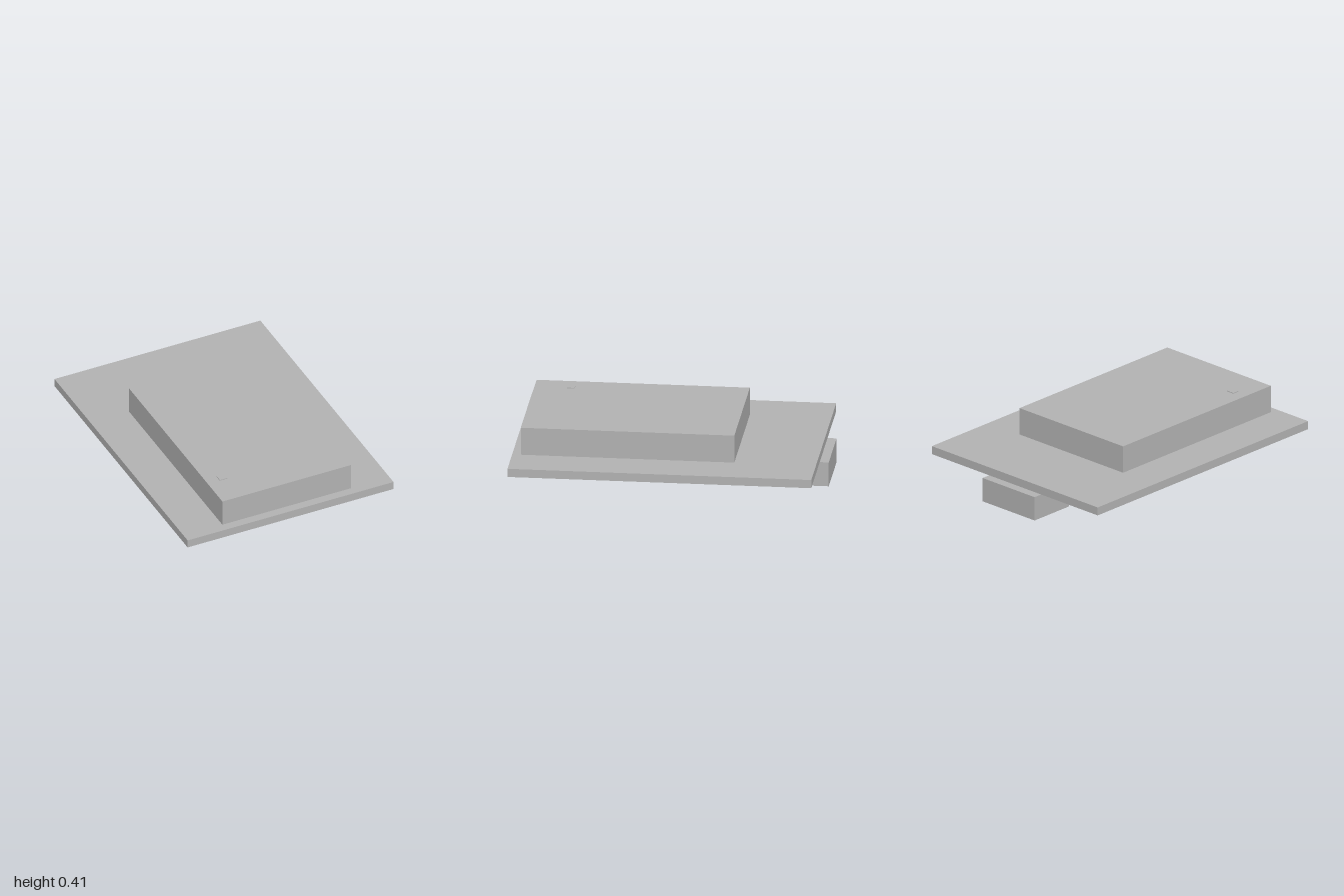
import * as THREE from 'three';

export function createModel() {
  const group = new THREE.Group();
  const grey = new THREE.MeshStandardMaterial({ color: 0xb2b2b2 });
  grey.name = 'plain grey';

  // Box given by its lower and upper limits on each axis
  function box(name, [x0, x1], [y0, y1], [z0, z1]) {
    const mesh = new THREE.Mesh(new THREE.BoxGeometry(x1 - x0, y1 - y0, z1 - z0), grey);
    mesh.position.set((x0 + x1) / 2, (y0 + y1) / 2, (z0 + z1) / 2);
    mesh.name = name;
    group.add(mesh);
  }

  // Thin board carrying everything
  box('basePlate', [-0.727, 0.727], [0.163, 0.218], [-0.943, 1]);
  // Large block on top
  box('moduleBlock', [-0.454, 0.454], [0.218, 0.4], [-0.421, 0.943]);
  // Small raised marker near the front corner of the block
  box('cornerMarker', [-0.37, -0.315], [0.4, 0.405], [0.685, 0.733]);
  // Connector under the rear edge
  box('rearConnector', [-0.228, 0.228], [0, 0.161], [-1, -0.681]);

  return group;
}
